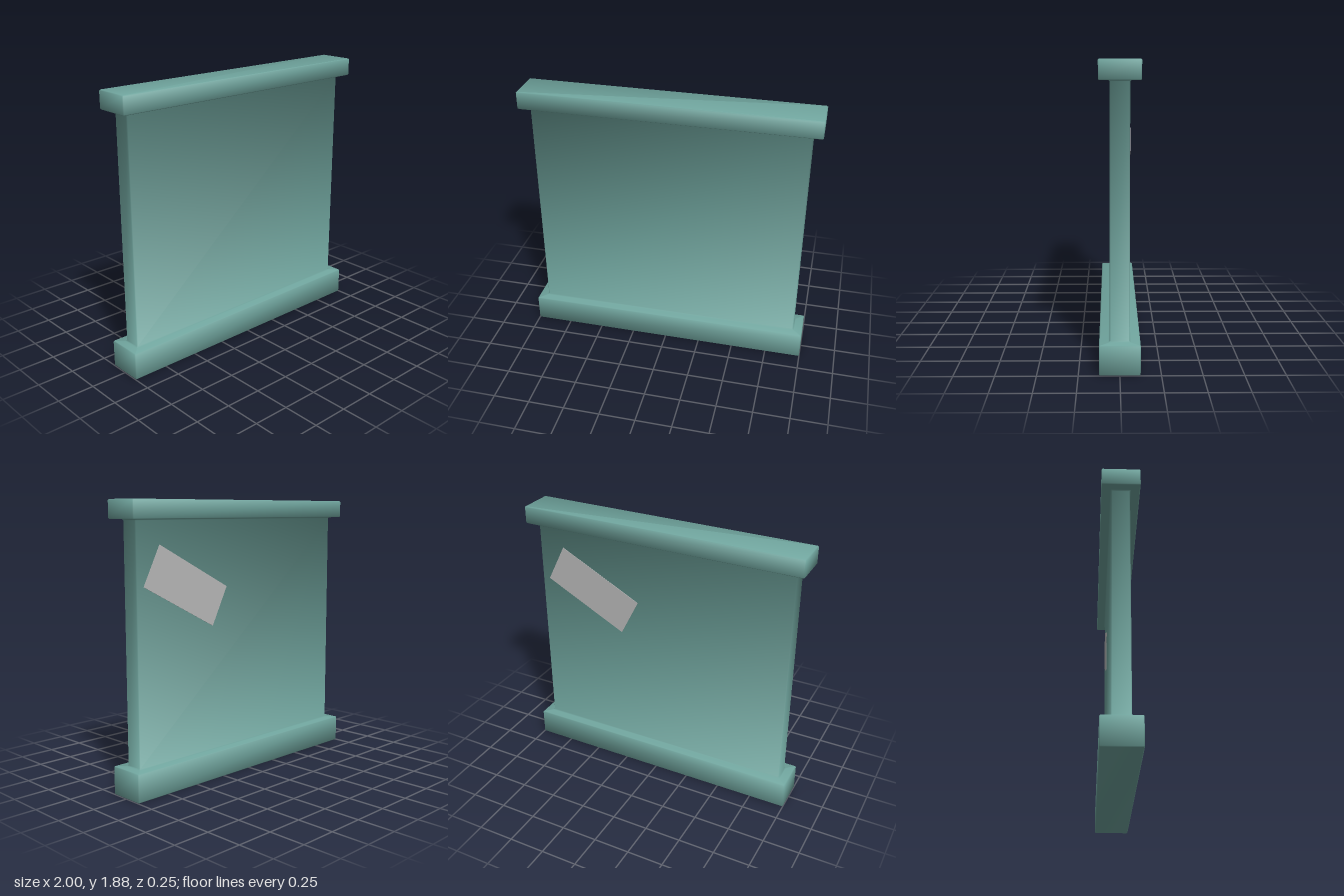
import * as THREE from 'three';

const teal = new THREE.MeshStandardMaterial({ color: 0x70a59e });
teal.name = 'muted teal';
const grey = new THREE.MeshStandardMaterial({ color: 0xb8b8b8 });
grey.name = 'light grey';

// Rectangle with clipped corners, running from +x towards +z
function ring(y, hx, hz, c) {
  const ix = hx - c, iz = hz - c;
  return [[hx, -iz], [hx, iz], [ix, hz], [-ix, hz], [-hx, iz], [-hx, -iz], [-ix, -hz], [ix, -hz]]
    .map(([x, z]) => new THREE.Vector3(x, y, z));
}

// Skin stacked rings with quads; every quad counts equally towards the smooth normals
function loft(rings) {
  const points = rings.flat();
  const quads = [];
  for (let r = 0; r < rings.length - 1; r++) {
    for (let i = 0; i < 8; i++) {
      const a = r * 8 + i, b = r * 8 + (i + 1) % 8;
      quads.push([b, a, a + 8, b + 8]);
    }
  }
  const top = (rings.length - 1) * 8;
  for (const q of [[0, 1, 2, 3], [0, 3, 4, 7], [4, 5, 6, 7]]) {
    quads.push(q, q.map((i) => top + i).reverse());
  }
  const normals = points.map(() => new THREE.Vector3());
  const index = [];
  for (const [a, b, c, d] of quads) {
    const n = points[c].clone().sub(points[a]).cross(points[d].clone().sub(points[b])).normalize();
    for (const i of [a, b, c, d]) normals[i].add(n);
    index.push(a, b, c, a, c, d);
  }
  const geometry = new THREE.BufferGeometry().setFromPoints(points);
  geometry.setAttribute('normal', new THREE.Float32BufferAttribute(
    normals.flatMap((n) => n.normalize().toArray()), 3));
  geometry.setIndex(index);
  return geometry;
}

export function createModel() {
  const group = new THREE.Group();
  group.name = 'wallSection';

  // Plinth, recessed panel and coping as one softly bevelled body: y, half width, half depth, corner
  const profile = [
    [0, 0.994, 0.119, 0.002], [0.006, 1, 0.125, 0.006],
    [0.182, 1, 0.125, 0.006], [0.188, 0.994, 0.119, 0.002],
    [0.188, 0.943, 0.068, 0.006], [0.196, 0.935, 0.06, 0.006],
    [1.746, 0.935, 0.06, 0.006], [1.754, 0.943, 0.068, 0.006],
    [1.754, 0.994, 0.119, 0.002], [1.76, 1, 0.125, 0.006],
    [1.869, 1, 0.125, 0.006], [1.875, 0.994, 0.119, 0.002],
  ];
  const wall = new THREE.Mesh(loft(profile.map((p) => ring(...p))), teal);
  wall.name = 'wallBody';
  group.add(wall);

  // Slanted plate on the back of the panel
  const plate = new THREE.Mesh(new THREE.BoxGeometry(0.654, 0.288, 0.006), grey);
  plate.name = 'backPlate';
  plate.position.set(0.522, 1.32, -0.06);
  plate.rotation.z = THREE.MathUtils.degToRad(27);
  group.add(plate);

  return group;
}
